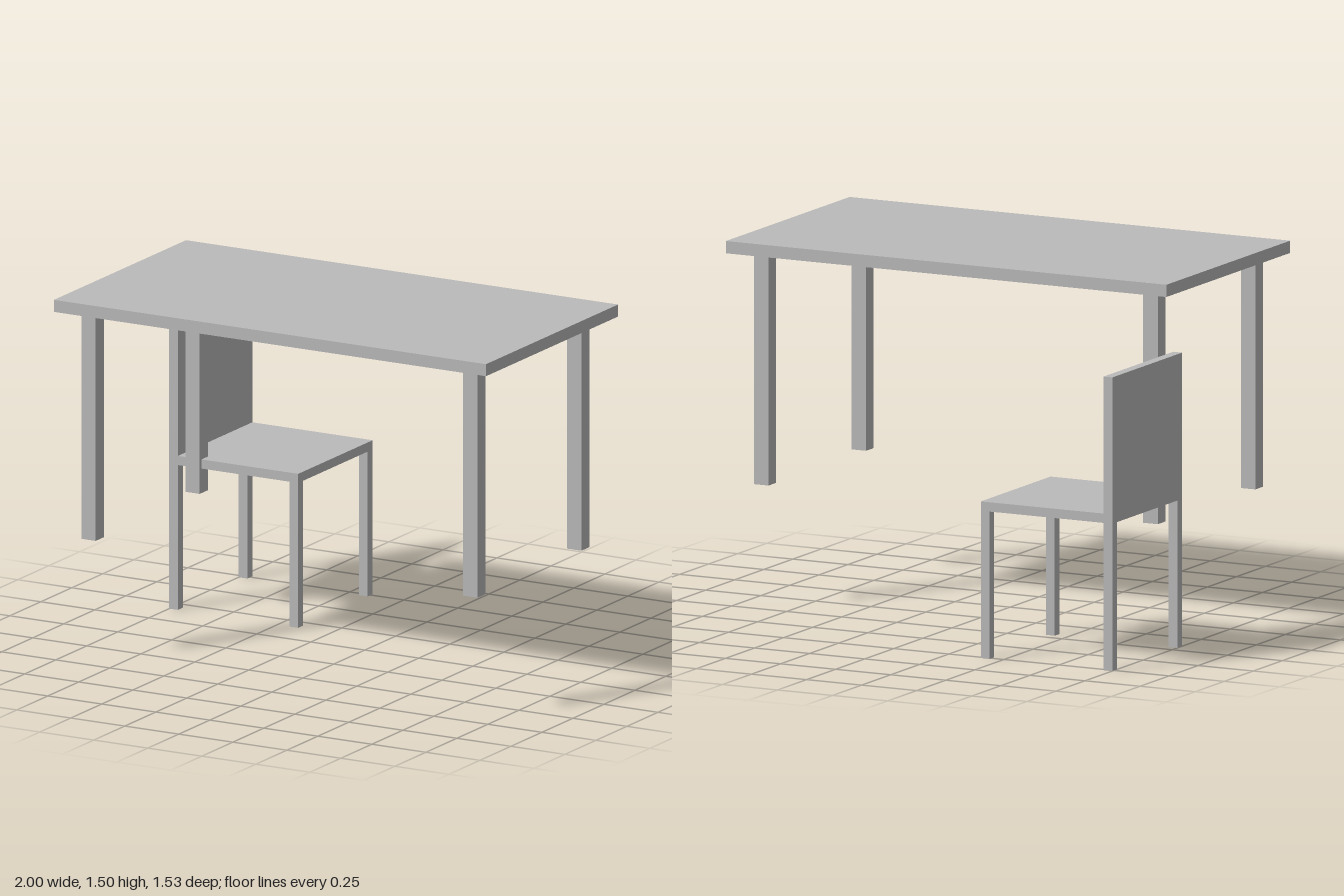
import * as THREE from 'three';

export function createModel() {
  const grey = new THREE.MeshStandardMaterial({ color: 0xbababa });
  grey.name = 'plain grey';

  // Box given by its minimum and maximum corners
  const box = (parent, name, [x0, y0, z0], [x1, y1, z1]) => {
    const mesh = new THREE.Mesh(new THREE.BoxGeometry(x1 - x0, y1 - y0, z1 - z0), grey);
    mesh.position.set((x0 + x1) / 2, (y0 + y1) / 2, (z0 + z1) / 2);
    mesh.name = name;
    parent.add(mesh);
  };

  // Four square legs, given the low corners along x and z
  const legs = (parent, name, xs, zs, size, bottom, top) => {
    for (const x of xs) for (const z of zs)
      box(parent, name, [x, bottom, z], [x + size, top, z + size]);
  };

  // Table
  const table = new THREE.Group();
  table.name = 'table';
  box(table, 'tableTop', [-1, 1.45, -0.3], [1, 1.5, 0.765]);
  legs(table, 'tableLeg', [-0.917, 0.85], [-0.217, 0.622], 0.066, 0.5, 1.45);

  // Chair, its back towards -x
  const chair = new THREE.Group();
  chair.name = 'chair';
  box(chair, 'seat', [-0.96, 0.602, -0.765], [-0.403, 0.64, -0.165]);
  box(chair, 'backrest', [-1, 0.602, -0.765], [-0.96, 1.2, -0.165]);
  legs(chair, 'chairLeg', [-1, -0.443], [-0.765, -0.205], 0.04, 0, 0.602);

  const model = new THREE.Group();
  model.name = 'tableAndChair';
  model.add(table, chair);
  return model;
}
